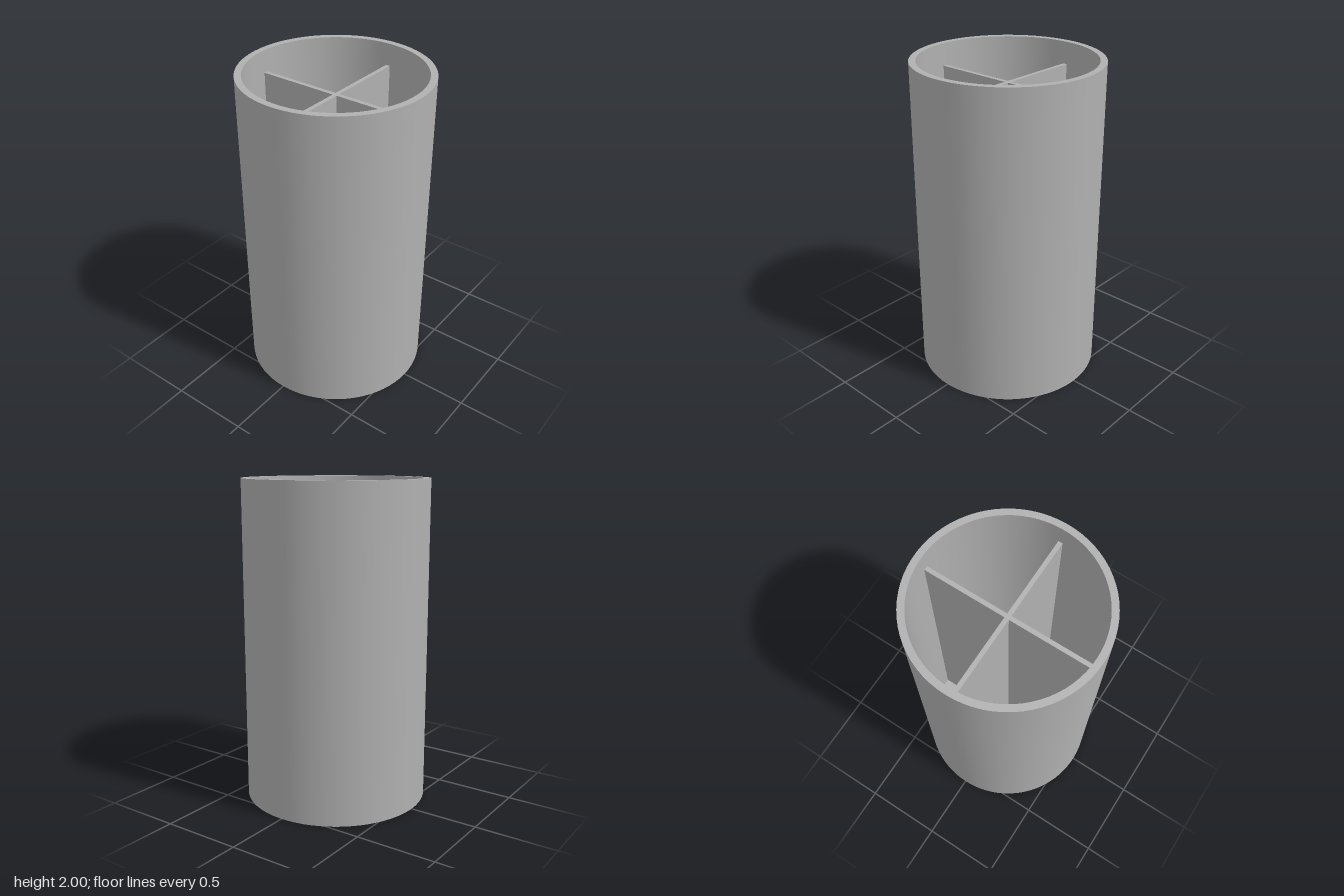
import * as THREE from 'three';
import { mergeGeometries } from 'three/addons/utils/BufferGeometryUtils.js';

const SEGMENTS = 72;
const OUTER = 0.571, INNER = 0.53, CAP = 0.49;
const FLOOR = 0.08, DIVIDER_TOP = 1.86, HALF_THICK = 0.0135;
const RECESS = 0.02, SLOT_TOP = 0.05;

// Turned solid with crisp corners: one lathe strip per straight profile segment
function turned(profile) {
  const strips = [];
  for (let i = 0; i < profile.length - 1; i++) {
    const pts = [profile[i], profile[i + 1]].map(([r, y]) => new THREE.Vector2(r, y));
    strips.push(new THREE.LatheGeometry(pts, SEGMENTS));
  }
  return mergeGeometries(strips);
}

export function createModel() {
  const group = new THREE.Group();
  const grey = new THREE.MeshStandardMaterial({ color: 0xb0b0b0 });
  grey.name = 'grey';

  const add = (name, geometry, x = 0, y = 0, z = 0) => {
    const mesh = new THREE.Mesh(geometry, grey);
    mesh.name = name;
    mesh.position.set(x, y, z);
    group.add(mesh);
    return mesh;
  };

  // Open cup with a recessed underside
  add('cup', turned([
    [0, SLOT_TOP], [CAP, SLOT_TOP], [CAP, 0], [OUTER, 0],
    [OUTER, 2], [INNER, 2], [INNER, FLOOR], [0, FLOOR],
  ]));

  // Crossed dividers inside, set below the rim
  const height = DIVIDER_TOP - FLOOR, midY = (DIVIDER_TOP + FLOOR) / 2;
  const reach = INNER + 0.005;
  add('mainDivider', new THREE.BoxGeometry(reach * 2, height, HALF_THICK * 2), 0, midY, 0);
  const halfLength = reach - HALF_THICK;
  for (const side of [-1, 1]) {
    add('crossDivider', new THREE.BoxGeometry(HALF_THICK * 2, height, halfLength),
      0, midY, side * (HALF_THICK + halfLength / 2));
  }

  // Base cap in two halves, leaving a straight slot between them
  const a = Math.asin(HALF_THICK / CAP);
  const half = new THREE.Shape();
  half.absarc(0, 0, CAP, a, Math.PI - a, false);
  half.closePath();
  const capGeometry = new THREE.ExtrudeGeometry(half, {
    depth: SLOT_TOP - RECESS, bevelEnabled: false, curveSegments: SEGMENTS / 2,
  });
  capGeometry.rotateX(-Math.PI / 2);
  for (const turn of [0, Math.PI]) {
    add('baseCapHalf', capGeometry, 0, RECESS, 0).rotation.y = turn;
  }

  return group;
}
